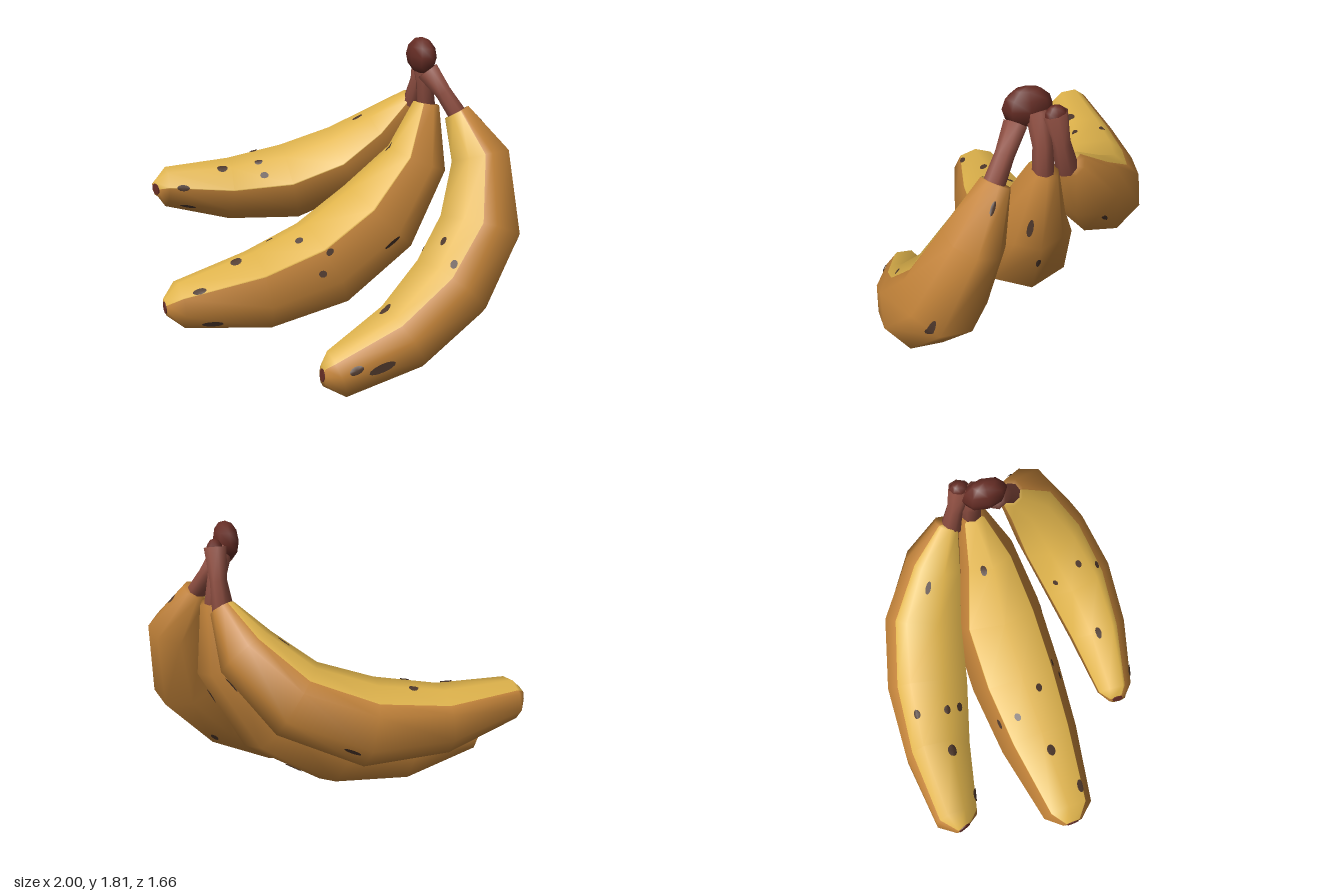
import * as THREE from 'three';

const mat = (name, color) => new THREE.MeshStandardMaterial({ name, color });
const V = (x, y, z) => new THREE.Vector3(x, y, z);
const RAD = Math.PI / 180;

// Each ring: x, y, z, radius towards the inner curve, radius sideways.
// shade: limits of the yellow inner side in degrees [back at tip, back at stem, front at tip, front at stem]
// spots: position along the rings, angle around (0 = inner curve, 90 = front), half length
const backBanana = {
  name: 'backBanana', side: V(-0.13, -0.46, 0.88), shade: [-80, -62, 47, 47],
  rings: [
    [-0.86, 0.9, -0.65, 0.05, 0.05], [-0.8, 0.9, -0.67, 0.12, 0.125], [-0.4, 0.83, -0.65, 0.19, 0.2],
    [0, 0.84, -0.58, 0.24, 0.25], [0.36, 0.98, -0.47, 0.22, 0.24], [0.58, 1.21, -0.31, 0.17, 0.17],
    [0.67, 1.42, -0.18, 0.07, 0.07],
  ],
  spots: [[1.3, 100, 0.05], [1.2, 45, 0.04], [2.5, 0, 0.03], [2.5, -45, 0.03], [1.85, 0, 0.035],
    [2.55, 25, 0.03], [4.7, -25, 0.045], [4.8, 180, 0.04], [3.2, -150, 0.04]],
};
const middleBanana = {
  name: 'middleBanana', side: V(0, 0, 1), shade: [-47, -47, 47, 47],
  rings: [
    [-1, 0.42, -0.03, 0.05, 0.06], [-0.92, 0.42, -0.03, 0.135, 0.155], [-0.44, 0.41, -0.03, 0.245, 0.25],
    [-0.02, 0.5, -0.03, 0.29, 0.29], [0.36, 0.74, -0.03, 0.28, 0.285], [0.61, 1.09, 0, 0.2, 0.18],
    [0.68, 1.42, -0.03, 0.08, 0.08],
  ],
  spots: [[1.3, 120, 0.06], [3.05, 52, 0.03], [2.8, 72, 0.025], [3.85, 95, 0.06], [5.3, 155, 0.045],
    [4.7, 180, 0.04], [3.35, 180, 0.05], [2.4, -58, 0.035], [2.4, -24, 0.03], [1.75, 5, 0.035],
    [2.75, 18, 0.03], [1.2, 40, 0.04], [5, -18, 0.035]],
};
const frontBanana = {
  name: 'frontBanana', side: V(-0.15, 0.4, 0.9), shade: [-50, -50, 50, 82],
  rings: [
    [-0.31, 0.155, 0.6, 0.06, 0.06], [-0.23, 0.145, 0.61, 0.14, 0.12], [0.17, 0.29, 0.63, 0.21, 0.2],
    [0.5, 0.51, 0.59, 0.25, 0.24], [0.75, 0.8, 0.49, 0.25, 0.23], [0.82, 1.18, 0.35, 0.18, 0.165],
    [0.73, 1.42, 0.22, 0.08, 0.08],
  ],
  spots: [[1.5, 110, 0.075], [3.5, 30, 0.035], [4, 165, 0.06], [5.7, 180, 0.03], [3.1, -120, 0.03],
    [2, 15, 0.045], [3.2, 60, 0.03], [3.3, -20, 0.025], [1.2, 90, 0.04]],
};

// Stems use the same ring layout
const stems = [
  [[0.66, 1.39, -0.16, 0.06, 0.06], [0.67, 1.55, -0.12, 0.046, 0.046], [0.67, 1.72, -0.08, 0.06, 0.065]],
  [[0.68, 1.39, -0.03, 0.058, 0.058], [0.66, 1.55, -0.03, 0.05, 0.052], [0.62, 1.72, -0.01, 0.065, 0.06]],
  [[0.74, 1.39, 0.24, 0.058, 0.058], [0.67, 1.53, 0.16, 0.05, 0.05], [0.6, 1.65, 0.09, 0.068, 0.06]],
];

// Frame of every ring: t runs along the fruit, u points to the inner curve, w sideways
function makeFrames(rings, side) {
  const c = rings.map((r) => V(r[0], r[1], r[2]));
  return rings.map((r, i) => {
    const t = c[Math.min(i + 1, c.length - 1)].clone().sub(c[Math.max(i - 1, 0)]).normalize();
    const u = side.clone().cross(t).normalize();
    return { c: c[i], t, u, w: t.clone().cross(u), ru: r[3], rv: r[4] };
  });
}

// Point on a ring's eight-sided outline
function ringPoint(f, deg, off = 0) {
  const k = Math.floor(deg / 45), m = deg / 45 - k;
  const a = k * 45 * RAD, b = (k + 1) * 45 * RAD;
  const cu = Math.cos(a) * (1 - m) + Math.cos(b) * m;
  const cw = Math.sin(a) * (1 - m) + Math.sin(b) * m;
  return f.c.clone().addScaledVector(f.u, cu * (f.ru + off)).addScaledVector(f.w, cw * (f.rv + off));
}

function geometryFrom(points, index) {
  const g = new THREE.BufferGeometry().setFromPoints(points);
  g.setIndex(index);
  g.computeVertexNormals();
  return g;
}

// Closed skin over the rings; columns where isInner is true form the first material group
function loft(frames, anglesAt, isInner) {
  const pts = [], inner = [], outer = [];
  const n = anglesAt(0).length, last = frames.length - 1;
  frames.forEach((f, i) => anglesAt(i / last).forEach((a) => pts.push(ringPoint(f, a))));
  const start = pts.push(frames[0].c.clone()) - 1;
  const end = pts.push(frames[last].c.clone()) - 1;
  for (let j = 0; j < n; j++) {
    const k = (j + 1) % n, list = isInner(j) ? inner : outer;
    for (let i = 0; i < last; i++) {
      const a = i * n + j, b = i * n + k;
      list.push(a, b, b + n, a, b + n, a + n);
    }
    list.push(start, k, j, end, last * n + j, last * n + k);
  }
  const g = geometryFrom(pts, [...inner, ...outer]);
  g.addGroup(0, inner.length, 0);
  g.addGroup(inner.length, outer.length, 1);
  return g;
}

// Thin oval patch lying on the skin
function spotGeometry(frames, [s, deg, half]) {
  const at = (p, a) => {
    const i = Math.min(Math.floor(p), frames.length - 2);
    return ringPoint(frames[i], a, 0.006).lerp(ringPoint(frames[i + 1], a, 0.006), p - i);
  };
  const i = Math.floor(Math.min(s, frames.length - 2));
  const ds = half / frames[i].c.distanceTo(frames[i + 1].c);
  const da = 0.019 / frames[i].rv / RAD;
  const pts = [at(s, deg)], index = [], n = 12;
  for (let k = 0; k < n; k++) {
    const a = (k / n) * Math.PI * 2;
    pts.push(at(s + ds * Math.cos(a), deg + da * Math.sin(a)));
    index.push(0, k + 1, ((k + 1) % n) + 1);
  }
  return geometryFrom(pts, index);
}

export function createModel() {
  const yellow = mat('yellowPeel', 0xe0b44c);
  const orange = mat('orangePeel', 0xc4843a);
  const stemBrown = mat('stemBrown', 0x8f4f42);
  const crownBrown = mat('crownBrown', 0x662d25);
  const spotBrown = mat('spotBrown', 0x4d372b);
  spotBrown.side = THREE.DoubleSide;

  const model = new THREE.Group();
  model.name = 'bananaBunch';
  const add = (parent, name, geometry, material) => {
    const mesh = new THREE.Mesh(geometry, material);
    mesh.name = name;
    parent.add(mesh);
    return mesh;
  };

  // Bananas
  for (const { name, side, shade, rings, spots } of [backBanana, middleBanana, frontBanana]) {
    const group = new THREE.Group();
    group.name = name;
    model.add(group);
    const frames = makeFrames(rings, side);
    const angles = (p) => {
      const back = 360 + THREE.MathUtils.lerp(shade[0], shade[1], p);
      const front = THREE.MathUtils.lerp(shade[2], shade[3], p);
      return [0, 45, front, 90, 135, 180, 225, 270, back, 315];
    };
    add(group, 'peel', loft(frames, angles, (j) => j < 2 || j > 7), [yellow, orange]);
    spots.forEach((s) => add(group, 'spot', spotGeometry(frames, s), spotBrown));

    // Dark blossom end
    const tip = add(group, 'blossomEnd', new THREE.CylinderGeometry(0.036, 0.036, 0.012, 8), crownBrown);
    tip.position.copy(frames[0].c);
    tip.quaternion.setFromUnitVectors(V(0, 1, 0), frames[0].t);
  }

  // Stems
  const octagon = () => [0, 45, 90, 135, 180, 225, 270, 315];
  stems.forEach((rings) =>
    add(model, 'stem', loft(makeFrames(rings, V(0, 0, 1)), octagon, () => true), [stemBrown, stemBrown]));

  // Crown joining the stems
  const knob = (name, pos, size) => {
    const m = add(model, name, new THREE.SphereGeometry(1, 8, 6), crownBrown);
    m.position.set(...pos);
    m.scale.set(...size);
  };
  knob('crown', [0.59, 1.73, 0.03], [0.07, 0.105, 0.125]);
  knob('crownSide', [0.675, 1.7, -0.085], [0.045, 0.065, 0.06]);
  return model;
}
